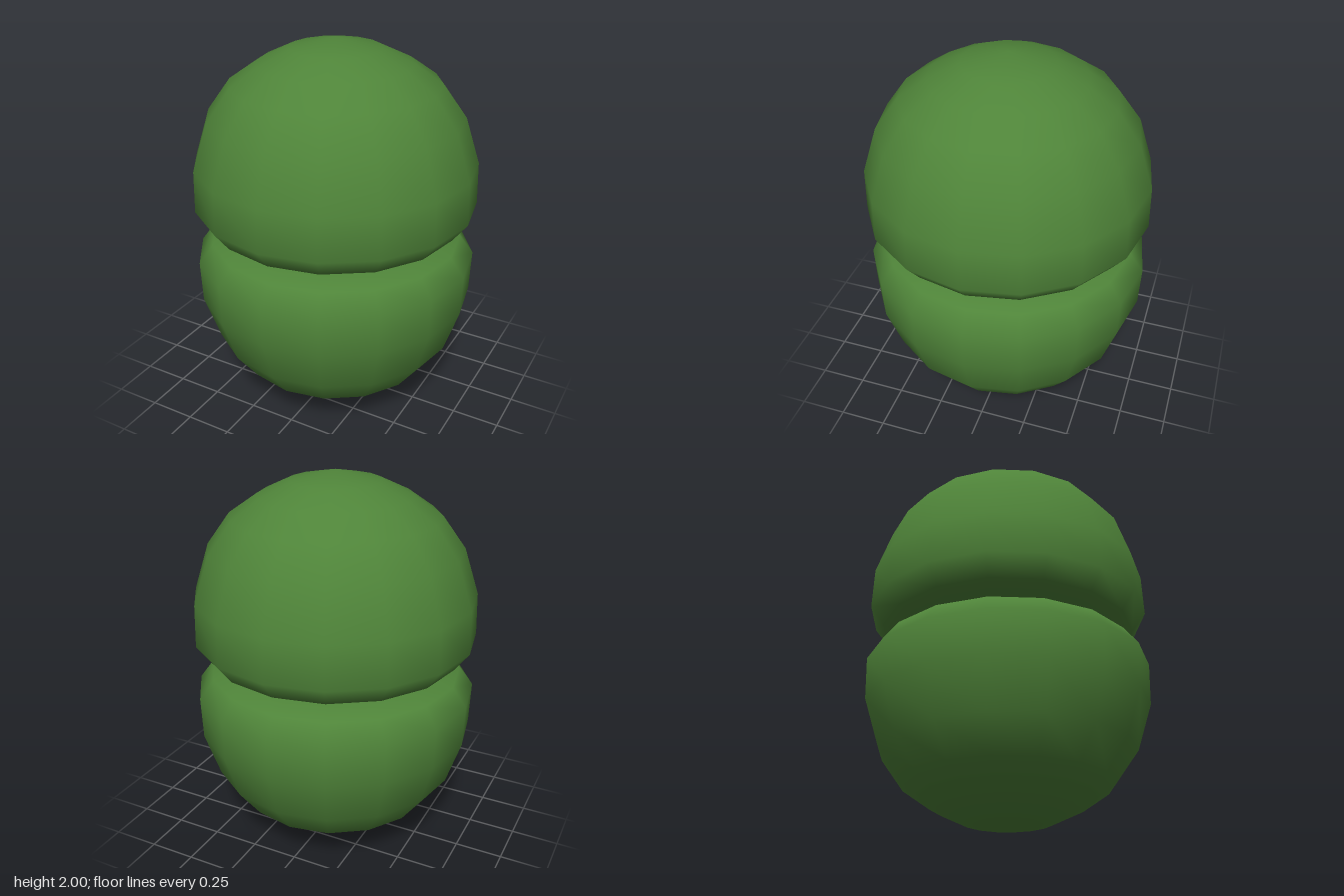
import * as THREE from 'three';
import { mergeVertices } from 'three/addons/utils/BufferGeometryUtils.js';

const SEGMENTS = 16;

// Dome profile: radius and height above the middle plane, from flat face to pole
const PROFILE = [
  [0, 0], [0.48, 0.005], [0.67, 0.05], [0.745, 0.15], [0.738, 0.37],
  [0.66, 0.61], [0.54, 0.775], [0.395, 0.875], [0.235, 0.95], [0, 1],
];

// Revolved dome pointing up (side = 1) or down (side = -1), smooth across seam and poles
function domeGeometry(side) {
  const points = PROFILE.map(([r, h]) => new THREE.Vector2(r, 1 + side * h));
  if (side < 0) points.reverse();
  const lathe = new THREE.LatheGeometry(points, SEGMENTS);
  lathe.deleteAttribute('uv');
  lathe.deleteAttribute('normal');
  const geometry = mergeVertices(lathe, 1e-4);
  geometry.computeVertexNormals();
  return geometry;
}

export function createModel() {
  const model = new THREE.Group();
  model.name = 'splitBall';
  const green = new THREE.MeshStandardMaterial({ color: 0x4f8439 });

  // Two mirrored halves meeting at the middle
  for (const [name, side] of [['upperHalf', 1], ['lowerHalf', -1]]) {
    const half = new THREE.Mesh(domeGeometry(side), green);
    half.name = name;
    model.add(half);
  }
  return model;
}
